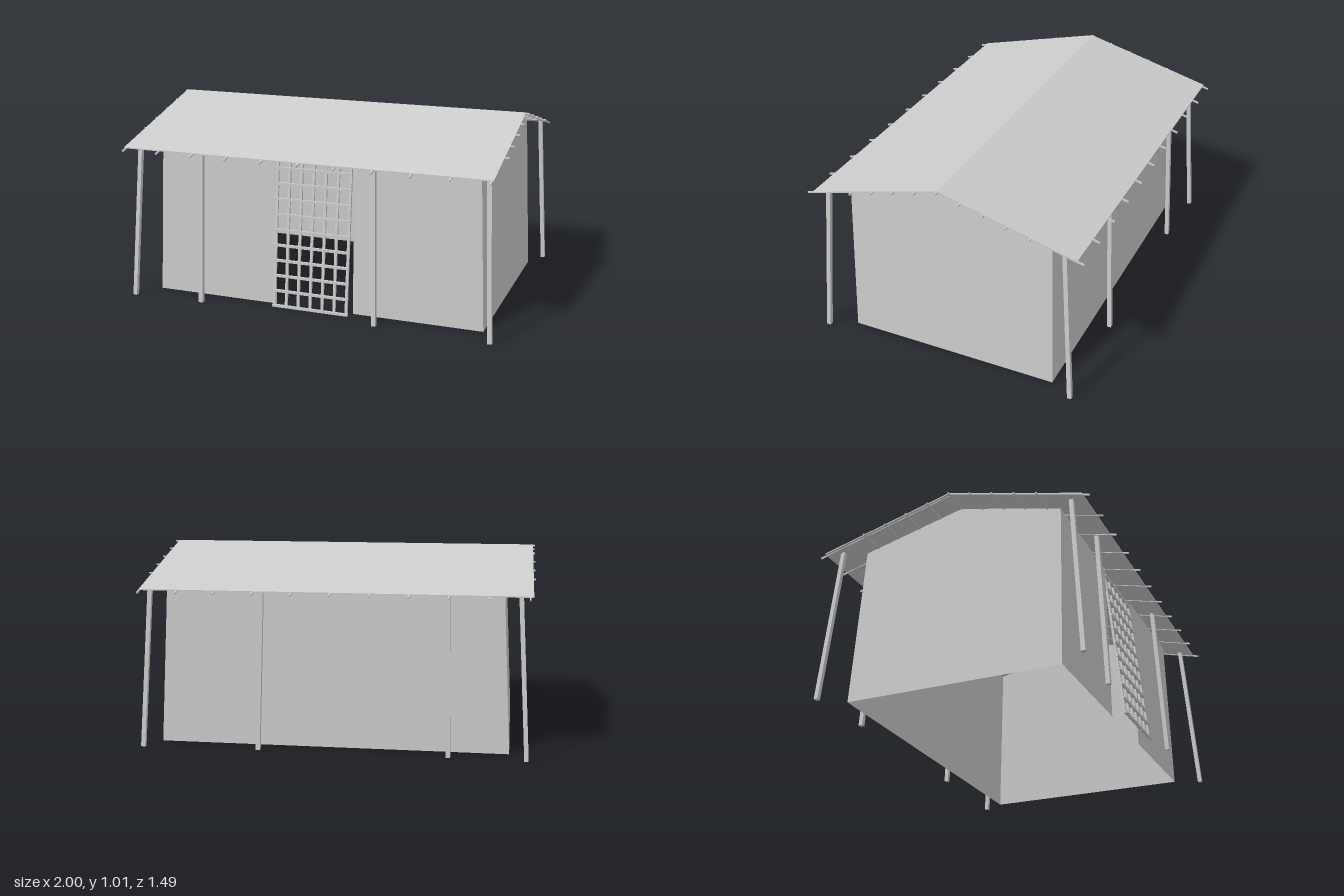
import * as THREE from 'three';

const solid = new THREE.MeshStandardMaterial({ color: 0xcccccc, flatShading: true });
const sheet = new THREE.MeshStandardMaterial({ color: 0xcccccc, flatShading: true, side: THREE.DoubleSide });

const RIDGE = 1.01, SLOPE = 0.262, EAVE = 0.866;
const roofY = (z) => RIDGE - SLOPE * Math.abs(z);
const lerp = THREE.MathUtils.lerp;

// Square bar from a to b
function bar(name, a, b, w, d = w) {
  const p = new THREE.Vector3(...a), q = new THREE.Vector3(...b);
  const mesh = new THREE.Mesh(new THREE.BoxGeometry(w, p.distanceTo(q), d), solid);
  mesh.name = name;
  mesh.position.copy(p).add(q).multiplyScalar(0.5);
  mesh.quaternion.setFromUnitVectors(new THREE.Vector3(0, 1, 0), q.sub(p).normalize());
  return mesh;
}

// Flat outline (u, y) placed in space by a rule
function panel(name, outline, place) {
  const geo = new THREE.ShapeGeometry(new THREE.Shape(outline.map((p) => new THREE.Vector2(...p))));
  const pos = geo.attributes.position;
  for (let i = 0; i < pos.count; i++) pos.setXYZ(i, ...place(pos.getX(i), pos.getY(i)));
  geo.computeVertexNormals();
  const mesh = new THREE.Mesh(geo, sheet);
  mesh.name = name;
  return mesh;
}

function walls() {
  const g = new THREE.Group();
  g.name = 'walls';
  // Inward lean of each wall with height
  const left = (y) => lerp(0.92, 0.882, y / EAVE);
  const right = (y) => lerp(-0.89, -0.848, y / EAVE);
  const front = (y) => lerp(0.56, 0.548, y / EAVE);
  const back = (y) => lerp(-0.575, -0.546, y / EAVE);
  const onFront = (x, y) => [x, y, front(y)];
  g.add(panel('frontWallRight', [[right(0), 0], [-0.2, 0], [-0.2, EAVE], [right(EAVE), EAVE]], onFront));
  g.add(panel('frontWallLeft', [[0.23, 0], [left(0), 0], [left(EAVE), EAVE], [0.23, EAVE]], onFront));
  g.add(panel('backWall', [[right(0), 0], [left(0), 0], [left(EAVE), EAVE], [right(EAVE), EAVE]],
    (x, y) => [x, y, back(y)]));
  const gable = [[back(0), 0], [front(0), 0], [front(EAVE), EAVE], [0, RIDGE - 0.003], [back(EAVE), EAVE]];
  g.add(panel('leftGable', gable, (z, y) => [left(y), y, z]));
  g.add(panel('rightGable', gable, (z, y) => [right(y), y, z]));
  return g;
}

function roof() {
  const g = new THREE.Group();
  g.name = 'roof';
  // Two thin slopes meeting at the ridge
  const s = new THREE.Shape();
  const e = 0.713, t = 0.006;
  s.moveTo(-e, roofY(e)).lineTo(0, RIDGE).lineTo(e, roofY(e));
  s.lineTo(e, roofY(e) - t).lineTo(0, RIDGE - t).lineTo(-e, roofY(e) - t).closePath();
  const geo = new THREE.ExtrudeGeometry(s, { depth: 1.97, bevelEnabled: false });
  geo.rotateY(Math.PI / 2).translate(-0.99, 0, 0);
  const cover = new THREE.Mesh(geo, solid);
  cover.name = 'roofCover';
  g.add(cover);
  // Rafters poke out past the eaves, purlins past the gables
  for (let i = 0; i < 11; i++) {
    for (const side of [1, -1]) {
      const x = -0.98 + 0.195 * i + (side < 0 ? 0.007 : 0), z = 0.746;
      g.add(bar('rafter', [x, RIDGE - 0.006, 0], [x, roofY(z) - 0.006, side * z], 0.008));
    }
  }
  for (let i = -4; i <= 4; i++) {
    const z = 0.12 * i, y = roofY(z) - 0.006;
    g.add(bar('purlin', [-1, y, z], [1, y, z], 0.008));
  }
  return g;
}

function posts() {
  const g = new THREE.Group();
  g.name = 'posts';
  // Foot x, head x, foot z: all posts lean in toward the eaves
  const rows = [[-0.975, -0.93, 0.697], [-0.588, -0.576, 0.677], [0.383, 0.364, 0.677], [0.985, 0.943, 0.697]];
  for (const side of [1, -1]) {
    for (const [foot, head, z] of rows) {
      g.add(bar(side > 0 ? 'frontPost' : 'backPost',
        [foot, 0.001, side * z], [head, roofY(0.637) - 0.004, side * 0.637], 0.022));
    }
  }
  return g;
}

function latticeDoor() {
  const g = new THREE.Group();
  g.name = 'latticeDoor';
  const z = (y) => lerp(0.625, 0.54, (y - 0.01) / 0.82);
  for (let i = 0; i < 7; i++) {
    const x = -0.185 + 0.0667 * i;
    g.add(bar('doorUpright', [x, 0.01, z(0.01)], [x, 0.835, z(0.835)], 0.014, 0.012));
  }
  for (let i = 0; i < 11; i++) {
    const y = 0.018 + 0.0808 * i;
    g.add(bar('doorCrossbar', [-0.195, y, z(y) + 0.005], [0.225, y, z(y) + 0.005], 0.013));
  }
  return g;
}

export function createModel() {
  const model = new THREE.Group();
  model.name = 'hut';
  model.add(walls(), roof(), posts(), latticeDoor());
  return model;
}
